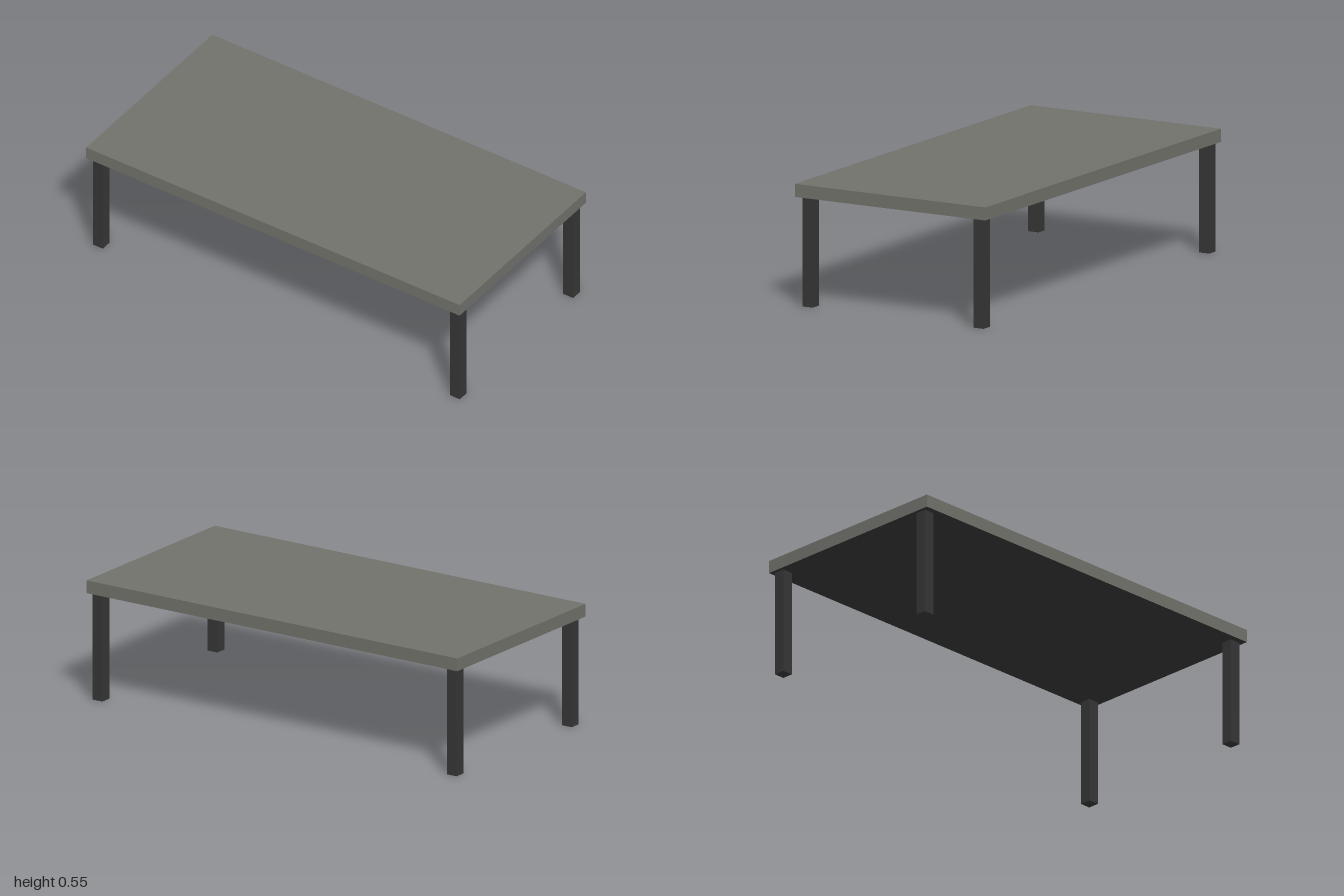
import * as THREE from 'three';

export function createModel() {
  const model = new THREE.Group();
  model.name = 'table';

  const topGrey = new THREE.MeshStandardMaterial({ color: 0x70716a });
  topGrey.name = 'warm grey';
  const darkGrey = new THREE.MeshStandardMaterial({ color: 0x353535 });
  darkGrey.name = 'dark grey';

  const legHeight = 0.494;
  const topThickness = 0.059;

  // Tabletop slab, with a dark underside (box face order: +x -x +y -y +z -z)
  const tableTop = new THREE.Mesh(
    new THREE.BoxGeometry(2, topThickness, 0.984),
    [topGrey, topGrey, topGrey, darkGrey, topGrey, topGrey]
  );
  tableTop.name = 'tableTop';
  tableTop.position.y = legHeight + topThickness / 2;
  model.add(tableTop);

  // Four square legs, set slightly in from the corners
  const legGeometry = new THREE.BoxGeometry(0.053, legHeight, 0.053);
  for (const [xName, x] of [['Left', 0.955], ['Right', -0.957]]) {
    for (const [zName, z] of [['front', 0.437], ['back', -0.446]]) {
      const leg = new THREE.Mesh(legGeometry, darkGrey);
      leg.name = `${zName}${xName}Leg`;
      leg.position.set(x, legHeight / 2, z);
      model.add(leg);
    }
  }

  return model;
}
